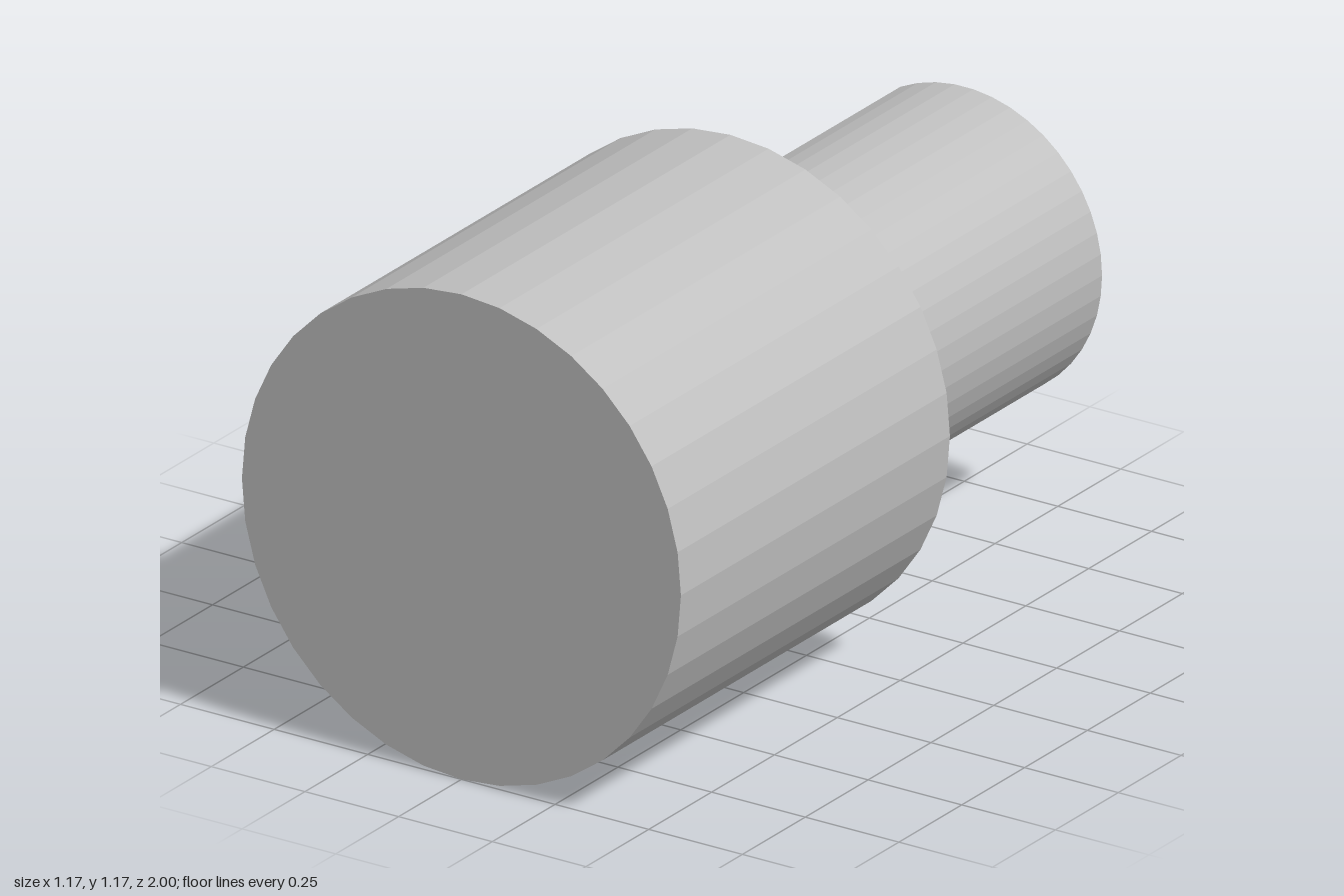
import * as THREE from 'three';

const AXIS_Y = 0.586;
const BODY_RADIUS = 0.586, SHAFT_RADIUS = 0.368;
const FRONT_Z = 1, SHOULDER_Z = -0.07, BACK_Z = -1;
const FLAT_X = -0.17;

export function createModel() {
  const model = new THREE.Group();
  model.name = 'steppedShaft';

  const grey = new THREE.MeshStandardMaterial({ color: 0xbfbfbf, flatShading: true });
  grey.name = 'light grey';

  // Wide round body
  const bodyLength = FRONT_Z - SHOULDER_Z;
  const bodyGeometry = new THREE.CylinderGeometry(BODY_RADIUS, BODY_RADIUS, bodyLength, 36);
  bodyGeometry.rotateX(Math.PI / 2);
  const body = new THREE.Mesh(bodyGeometry, grey);
  body.name = 'body';
  body.position.set(0, AXIS_Y, (FRONT_Z + SHOULDER_Z) / 2);
  model.add(body);

  // D-shaped shaft: an arc closed by a flat on the -x side
  const halfAngle = Math.acos(FLAT_X / SHAFT_RADIUS);
  const steps = 30;
  const outline = [];
  for (let i = 0; i <= steps; i++) {
    const a = -halfAngle + (2 * halfAngle * i) / steps;
    outline.push(new THREE.Vector2(SHAFT_RADIUS * Math.cos(a), SHAFT_RADIUS * Math.sin(a)));
  }
  const shaftGeometry = new THREE.ExtrudeGeometry(new THREE.Shape(outline), {
    depth: SHOULDER_Z - BACK_Z,
    bevelEnabled: false,
  });
  const shaft = new THREE.Mesh(shaftGeometry, grey);
  shaft.name = 'flattenedShaft';
  shaft.position.set(0, AXIS_Y, BACK_Z);
  model.add(shaft);

  return model;
}
